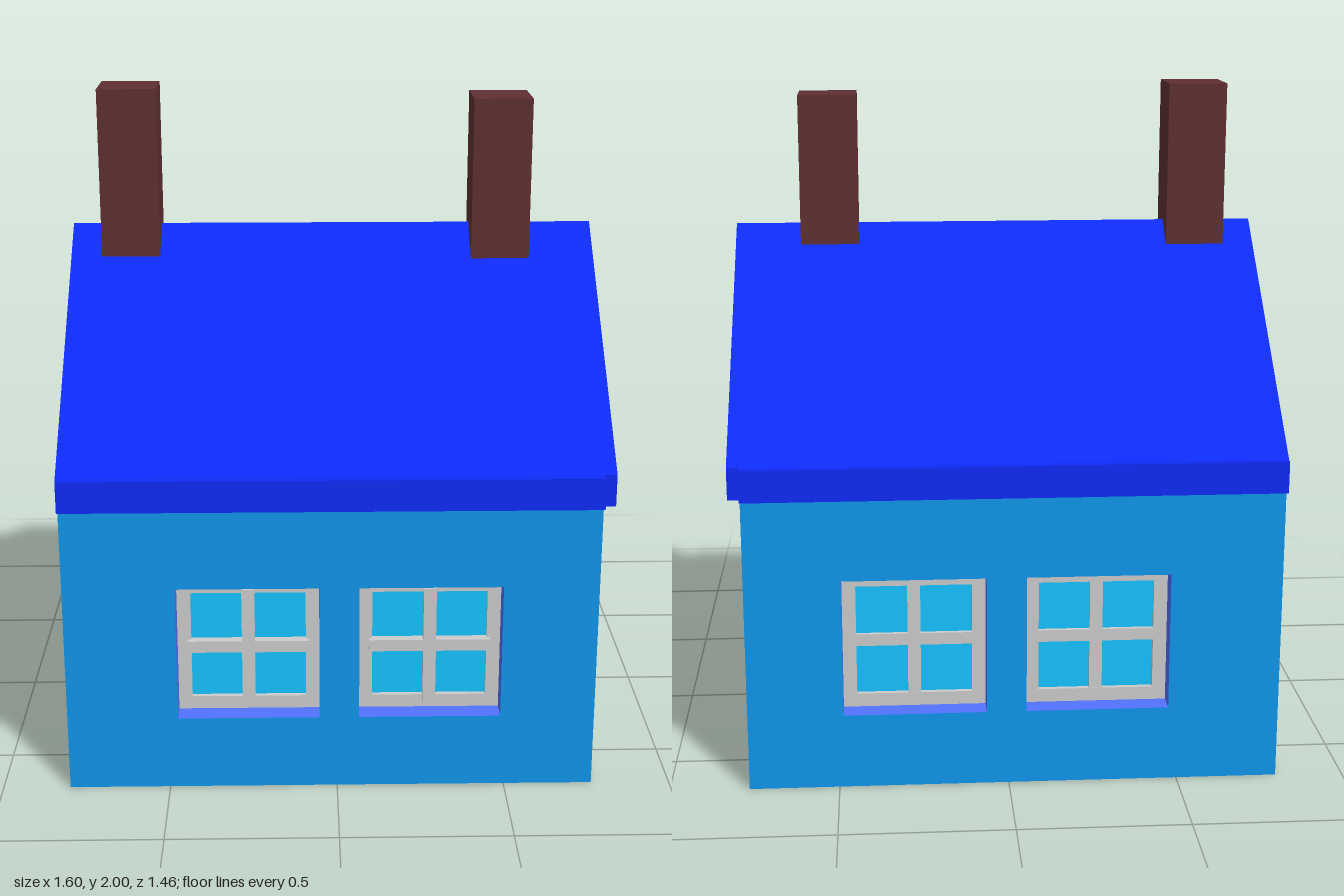
import * as THREE from 'three';

const mat = (color, side = THREE.FrontSide) =>
  new THREE.MeshStandardMaterial({ color, side, flatShading: true });

const WALL = mat(0x1096ec), ROOF = mat(0x0f2bf7), BRICK = mat(0x5f3032);
const GLASS = mat(0x15c3ff), DOOR = mat(0x5272ff), TRIM = mat(0xcccccc);
const REVEAL = mat(0x5272ff, THREE.DoubleSide), SIDE_REVEAL = mat(0x0f2bf7, THREE.DoubleSide);

const X0 = -0.8, X1 = 0.765, Z = 0.7, EAVE = 0.89;

function add(parent, name, geometry, material, x = 0, y = 0, z = 0) {
  const mesh = new THREE.Mesh(geometry, material);
  mesh.name = name;
  mesh.position.set(x, y, z);
  parent.add(mesh);
  return mesh;
}

const box = (parent, name, m, w, h, d, x, y, z) =>
  add(parent, name, new THREE.BoxGeometry(w, h, d), m, x, y, z);

const points = (list) => list.map(([x, y]) => new THREE.Vector2(x, y));

const rect = (cx, cy, w, h) => points([
  [cx - w / 2, cy - h / 2], [cx + w / 2, cy - h / 2],
  [cx + w / 2, cy + h / 2], [cx - w / 2, cy + h / 2]]);

const circle = (cx, cy, r) => new THREE.Path().absarc(cx, cy, r, 0, Math.PI * 2).getPoints(16).slice(0, -1);

// Flat wall facing local +z, with openings cut through it
function wall(parent, name, outline, openings = []) {
  const shape = new THREE.Shape(outline);
  shape.holes = openings.map((o) => new THREE.Path(o));
  return add(parent, name, new THREE.ShapeGeometry(shape), WALL);
}

// Inner sides of an opening, running back from the wall plane
function reveal(parent, outline, depth, material) {
  const v = [];
  outline.forEach((a, i) => {
    const b = outline[(i + 1) % outline.length];
    v.push(a.x, a.y, 0, a.x, a.y, -depth, b.x, b.y, -depth);
    v.push(a.x, a.y, 0, b.x, b.y, -depth, b.x, b.y, 0);
  });
  const g = new THREE.BufferGeometry();
  g.setAttribute('position', new THREE.Float32BufferAttribute(v, 3));
  g.computeVertexNormals();
  add(parent, 'reveal', g, material);
}

// Ring-shaped trim between two outlines
function frame(parent, outer, inner, z) {
  const shape = new THREE.Shape(outer);
  shape.holes.push(new THREE.Path(inner));
  add(parent, 'windowFrame',
    new THREE.ExtrudeGeometry(shape, { depth: 0.015, bevelEnabled: false }), TRIM, 0, 0, z);
}

// Recessed square window with a cross of glazing bars
function squareWindow(parent, cx, cy, w, h, { depth, border, raised, material }) {
  const g = new THREE.Group();
  g.name = 'window';
  parent.add(g);
  const outer = rect(cx, cy, w, h);
  const back = depth + 0.015;
  reveal(g, outer, back, material);
  add(g, 'glass', new THREE.PlaneGeometry(w, h), GLASS, cx, cy, -back);
  frame(g, outer, rect(cx, cy, w - 2 * border, h - 2 * border), -back);
  const t = raised ? 0.03 : 0.014;
  const over = raised ? 0.05 : 2 * border;
  box(g, 'verticalBar', TRIM, 0.038, h - over, t, cx, cy, -back + t / 2);
  box(g, 'horizontalBar', TRIM, w - over - (raised ? 0.01 : 0), 0.036, t - 0.001, cx, cy, -back + t / 2);
}

export function createModel() {
  const house = new THREE.Group();
  house.name = 'house';
  const facade = (name, x, z, turn) => {
    const g = new THREE.Group();
    g.name = name;
    g.position.set(x, 0, z);
    g.rotation.y = turn;
    house.add(g);
    return g;
  };

  // Long walls, each with two windows
  for (const s of [1, -1]) {
    const g = facade(s > 0 ? 'frontFacade' : 'backFacade', 0, s * Z, s > 0 ? 0 : Math.PI);
    const centers = [-0.262 * s, 0.275 * s];
    wall(g, 'longWall', rect(s * (X0 + X1) / 2, EAVE / 2, X1 - X0, EAVE),
      centers.map((c) => rect(c, 0.433, 0.42, 0.415)));
    for (const c of centers) {
      squareWindow(g, c, 0.433, 0.42, 0.415,
        { depth: 0.065, border: 0.04, raised: s > 0, material: REVEAL });
    }
  }

  // Gable walls
  const gable = points([[-Z, 0], [Z, 0], [Z, EAVE], [0, 1.48], [-Z, EAVE]]);
  wall(facade('leftGable', X0, 0, -Math.PI / 2), 'plainGableWall', gable);

  // Entrance gable: the doorway is part of the outline
  const entry = facade('entranceGable', X1, 0, Math.PI / 2);
  const door = points([[-0.43, 0], [-0.43, 0.525], [-0.35, 0.615], [-0.275, 0.63],
    [-0.2, 0.615], [-0.12, 0.525], [-0.12, 0]]);
  const round = circle(0, 0.987, 0.145);
  wall(entry, 'entranceGableWall', [gable[0], ...door, ...gable.slice(1)],
    [rect(0.298, 0.433, 0.42, 0.415), round]);
  squareWindow(entry, 0.298, 0.433, 0.42, 0.415,
    { depth: 0.045, border: 0.028, raised: false, material: SIDE_REVEAL });

  // Door and knob
  reveal(entry, door, 0.04, SIDE_REVEAL);
  add(entry, 'door', new THREE.ShapeGeometry(new THREE.Shape(door)), DOOR, 0, 0, -0.04);
  add(entry, 'doorKnob', new THREE.SphereGeometry(0.015, 10, 8), TRIM, -0.362, 0.313, -0.02);
  const stem = add(entry, 'knobStem', new THREE.CylinderGeometry(0.007, 0.007, 0.03, 8), TRIM, -0.362, 0.313, -0.03);
  stem.rotation.x = Math.PI / 2;

  // Round gable window
  reveal(entry, round, 0.045, SIDE_REVEAL);
  add(entry, 'roundGlass', new THREE.ShapeGeometry(new THREE.Shape(round)), GLASS, 0, 0, -0.045);
  frame(entry, round, circle(0, 0.987, 0.116), -0.045);

  // Floor, notched at the doorway
  const floor = points([[X0, -Z], [X1, -Z], [X1, 0.12], [X1 - 0.04, 0.12],
    [X1 - 0.04, 0.43], [X1, 0.43], [X1, Z], [X0, Z]]);
  add(house, 'floor', new THREE.ShapeGeometry(new THREE.Shape(floor)), DOOR).rotation.x = Math.PI / 2;

  // Roof: a chevron run along the length, plus eave boards
  const chevron = points([[-Z, EAVE], [0, 1.48], [Z, EAVE], [Z, 0.985], [0, 1.572], [-Z, 0.985]]);
  const roof = add(house, 'roof', new THREE.ExtrudeGeometry(new THREE.Shape(chevron),
    { depth: 1.603, bevelEnabled: false }), ROOF, -0.803);
  roof.rotation.y = Math.PI / 2;
  for (const s of [1, -1]) {
    box(house, 'eaveBoard', ROOF, X1 - X0, 0.095, 0.03, (X0 + X1) / 2, 0.9375, s * 0.715);
  }

  // Chimneys
  box(house, 'rightChimney', BRICK, 0.178, 0.55, 0.178, -0.62, 1.725, 0.01);
  box(house, 'leftChimney', BRICK, 0.178, 0.52, 0.178, 0.512, 1.71, 0.02);
  return house;
}
